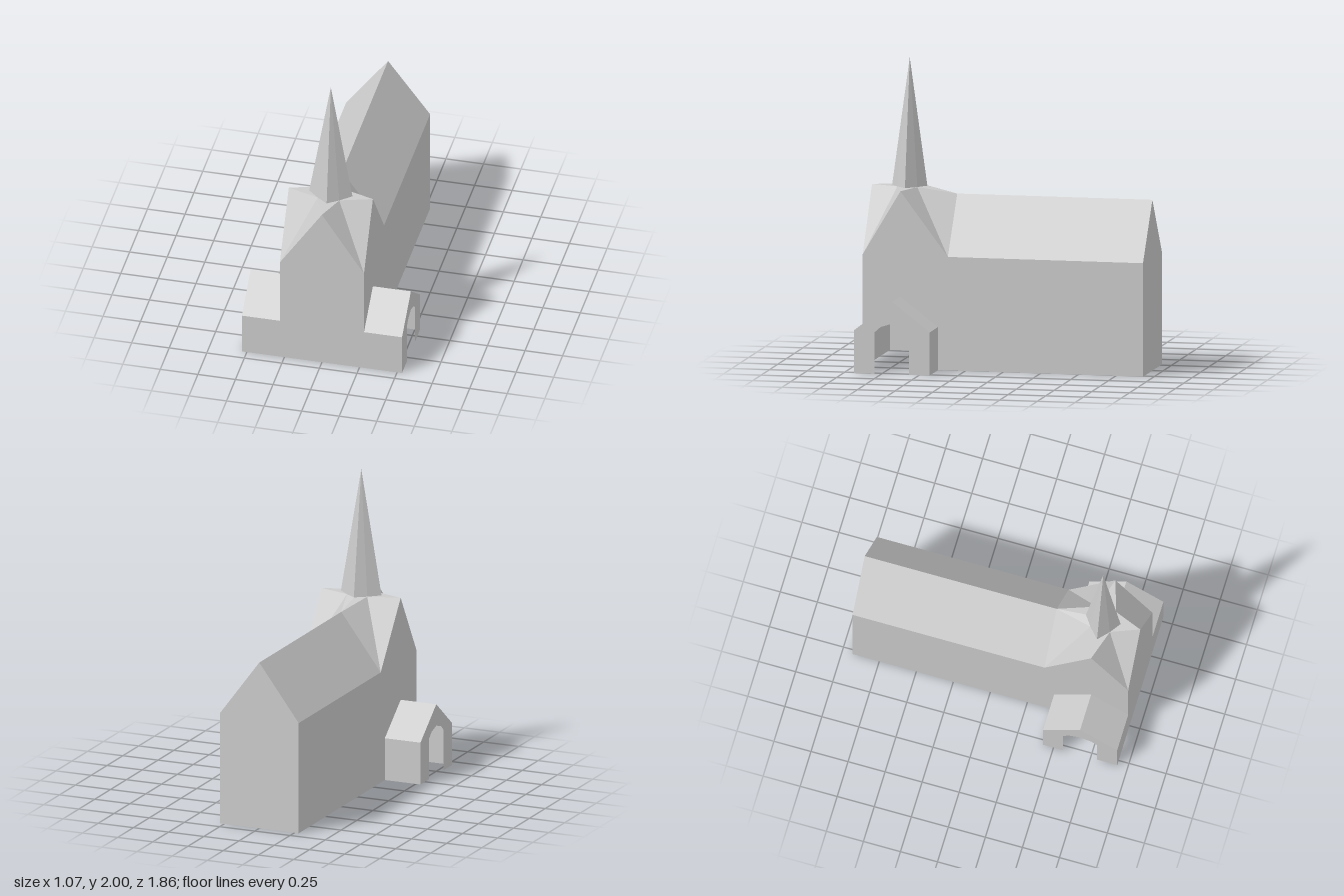
import * as THREE from 'three';

const W = 0.28, EAVE = 0.743, BACK = -0.93, FRONT = 0.93, TOWER_BACK = 0.365;
const MID = 0.68, RIDGE = 1.163, NAVE_RIDGE = 1.118;
const PORCH_X = 0.533, PORCH_BACK = 0.43, PORCH_EAVE = 0.282, PORCH_RIDGE = 0.475;

// Arched doorway as (z, y) points from back to front
const ARCH = [[0.565, 0], [0.565, 0.272], [0.605, 0.308], [MID, 0.331], [0.755, 0.308], [0.795, 0.272], [0.795, 0]];

export function createModel() {
  const group = new THREE.Group();
  const material = new THREE.MeshStandardMaterial({ color: 0xcccccc, flatShading: true, side: THREE.DoubleSide });

  const add = (name, geometry) => {
    const mesh = new THREE.Mesh(geometry, material);
    mesh.name = name;
    group.add(mesh);
  };
  const panel = (points) => new THREE.ShapeGeometry(new THREE.Shape(points.map(([a, b]) => new THREE.Vector2(a, b))));
  // Upright panel from a (z, y) outline at a given x, facing outwards
  const sidePanel = (points, x) => {
    const s = Math.sign(x);
    return panel(points.map(([z, y]) => [-s * z, y])).rotateY(s * Math.PI / 2).translate(x, 0, 0);
  };
  const fromTriangles = (triangles) => {
    const geometry = new THREE.BufferGeometry();
    geometry.setAttribute('position', new THREE.Float32BufferAttribute(triangles.flat(2), 3));
    geometry.computeVertexNormals();
    return geometry;
  };
  const quad = (a, b, c, d) => [[a, b, c], [a, c, d]];

  // Front wall with the tower gable, as wide as the porches at the foot
  add('frontWall', panel([
    [-PORCH_X, 0], [PORCH_X, 0], [PORCH_X, PORCH_EAVE], [W, PORCH_EAVE], [W, EAVE],
    [0, RIDGE], [-W, EAVE], [-W, PORCH_EAVE], [-PORCH_X, PORCH_EAVE],
  ]).translate(0, 0, FRONT));
  add('backWall', panel([[-W, 0], [W, 0], [W, EAVE], [0, NAVE_RIDGE], [-W, EAVE]])
    .rotateY(Math.PI).translate(0, 0, BACK));

  // Side walls with tower gables, open into the porches
  const sideWall = [
    [BACK, 0], [PORCH_BACK, 0], [PORCH_BACK, PORCH_EAVE], [MID, PORCH_RIDGE], [FRONT, PORCH_EAVE],
    [FRONT, EAVE], [MID, RIDGE], [TOWER_BACK, EAVE], [BACK, EAVE],
  ];
  // Porch end wall with the doorway cut from its foot
  const porchEnd = [
    [PORCH_BACK, 0], ...ARCH, [FRONT, 0], [FRONT, PORCH_EAVE], [MID, PORCH_RIDGE], [PORCH_BACK, PORCH_EAVE],
  ];
  for (const [side, s] of [['left', 1], ['right', -1]]) {
    const [a, b] = s > 0 ? [W, PORCH_X] : [-PORCH_X, -W];
    add(side + 'Wall', sidePanel(sideWall, s * W));
    add(side + 'PorchEnd', sidePanel(porchEnd, s * PORCH_X));
    add(side + 'PorchBack', fromTriangles(quad(
      [b, 0, PORCH_BACK], [a, 0, PORCH_BACK], [a, PORCH_EAVE, PORCH_BACK], [b, PORCH_EAVE, PORCH_BACK])));
    add(side + 'PorchRoof', fromTriangles([
      ...quad([a, PORCH_EAVE, FRONT], [b, PORCH_EAVE, FRONT], [b, PORCH_RIDGE, MID], [a, PORCH_RIDGE, MID]),
      ...quad([b, PORCH_EAVE, PORCH_BACK], [a, PORCH_EAVE, PORCH_BACK], [a, PORCH_RIDGE, MID], [b, PORCH_RIDGE, MID]),
    ]));
  }

  // Nave roof
  add('naveRoof', fromTriangles([
    ...quad([W, EAVE, TOWER_BACK], [W, EAVE, BACK], [0, NAVE_RIDGE, BACK], [0, NAVE_RIDGE, TOWER_BACK]),
    ...quad([-W, EAVE, BACK], [-W, EAVE, TOWER_BACK], [0, NAVE_RIDGE, TOWER_BACK], [0, NAVE_RIDGE, BACK]),
  ]));

  // Eight-sided spire foot, starting at the front and turning towards +x
  const ring = [[0, 0.117], [0.072, 0.066], [0.144, 0], [0.072, -0.066], [0, -0.117], [-0.072, -0.066], [-0.144, 0], [-0.072, 0.066]]
    .map(([x, z]) => [x, RIDGE, MID + z]);

  // Tower roof: two slopes meet in a valley at each corner, with flat tips beside the spire
  const corners = [[W, EAVE, FRONT], [W, EAVE, TOWER_BACK], [-W, EAVE, TOWER_BACK], [-W, EAVE, FRONT]];
  const peaks = [[0, RIDGE, FRONT], [W, RIDGE, MID], [0, NAVE_RIDGE, TOWER_BACK], [-W, RIDGE, MID]];
  const slopes = [];
  for (let k = 0; k < 4; k++) {
    const corner = corners[k], valley = ring[2 * k + 1], peak = peaks[k], next = peaks[(k + 1) % 4];
    slopes.push([peak, corner, valley], [valley, corner, next]);
    slopes.push([peak, valley, ring[2 * k]], [next, ring[(2 * k + 2) % 8], valley]);
  }
  add('towerRoof', fromTriangles(slopes));

  // Spire
  add('spire', fromTriangles(ring.map((p, i) => [p, ring[(i + 1) % 8], [0, 2, MID]])));

  return group;
}
